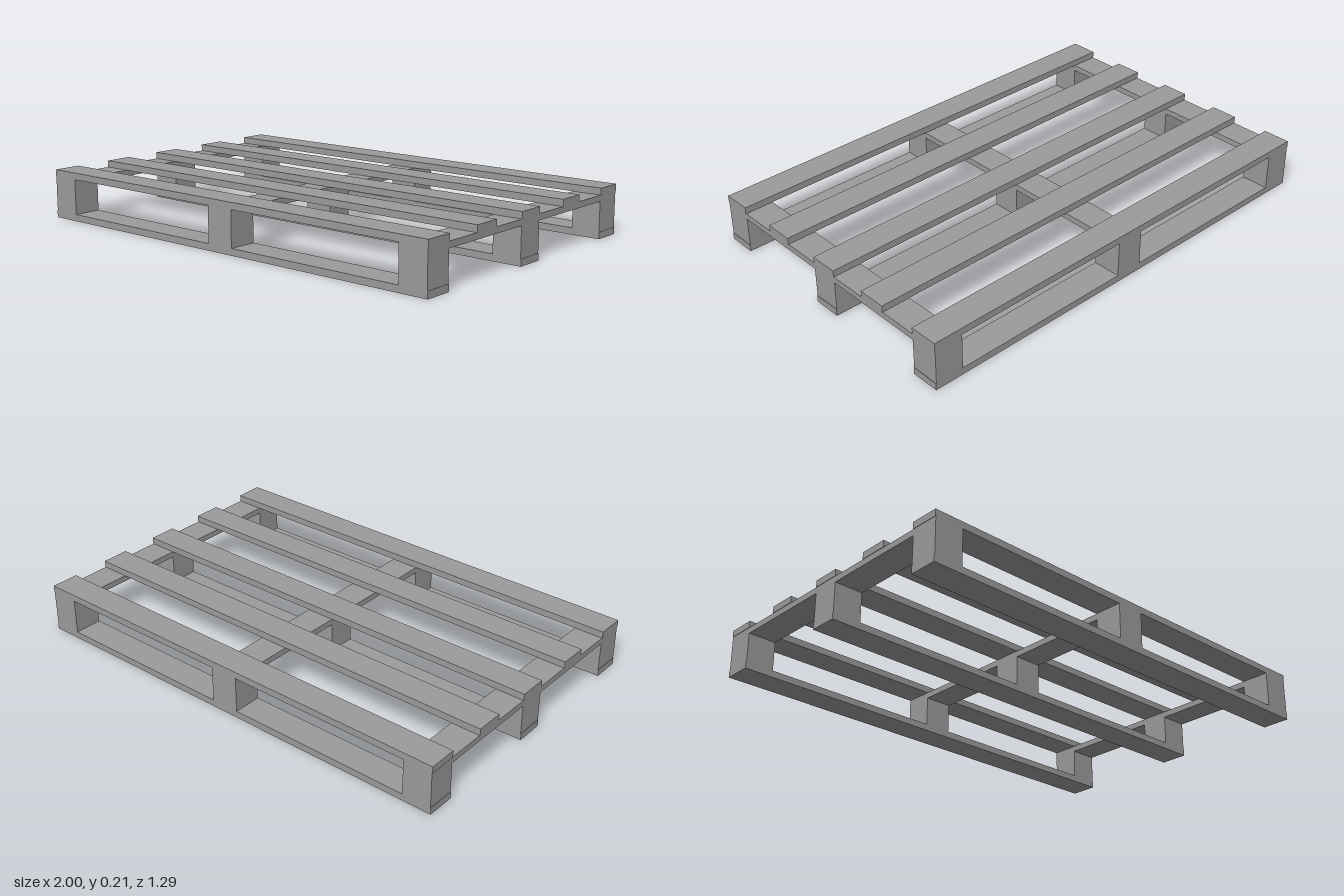
import * as THREE from 'three';

export function createModel() {
  const group = new THREE.Group();
  group.name = 'pallet';
  const material = new THREE.MeshStandardMaterial({ color: 0x9b9b9b });

  const boardWidth = 0.123, blockLength = 0.125, depth = 1.29;
  const rowZ = (depth - boardWidth) / 2;           // centre of the outer rows
  const columnX = 0.998 - blockLength / 2;         // outer columns, just inside the board ends
  // Heights of the layers, from the ground up
  const yBottom = 0.029, yBlock = 0.156, yStringer = 0.182, yTop = 0.211;

  function plank(name, width, length, y0, y1, x, z) {
    const mesh = new THREE.Mesh(new THREE.BoxGeometry(width, y1 - y0, length), material);
    mesh.name = name;
    mesh.position.set(x, (y0 + y1) / 2, z);
    group.add(mesh);
  }

  // Five deck boards across the top
  for (let i = -2; i <= 2; i++) {
    plank('deckBoard', 2, boardWidth, yStringer, yTop, 0, (i * rowZ) / 2);
  }

  for (let i = -1; i <= 1; i++) {
    // Cross boards under the deck, running front to back
    plank('stringerBoard', blockLength, depth, yBlock, yStringer, i * columnX, 0);
    // Runners on the ground
    plank('bottomBoard', 2, boardWidth, 0, yBottom, 0, i * rowZ);
    // Three spacer blocks on each runner
    for (let j = -1; j <= 1; j++) {
      plank('block', blockLength, boardWidth, yBottom, yBlock, j * columnX, i * rowZ);
    }
  }

  return group;
}
